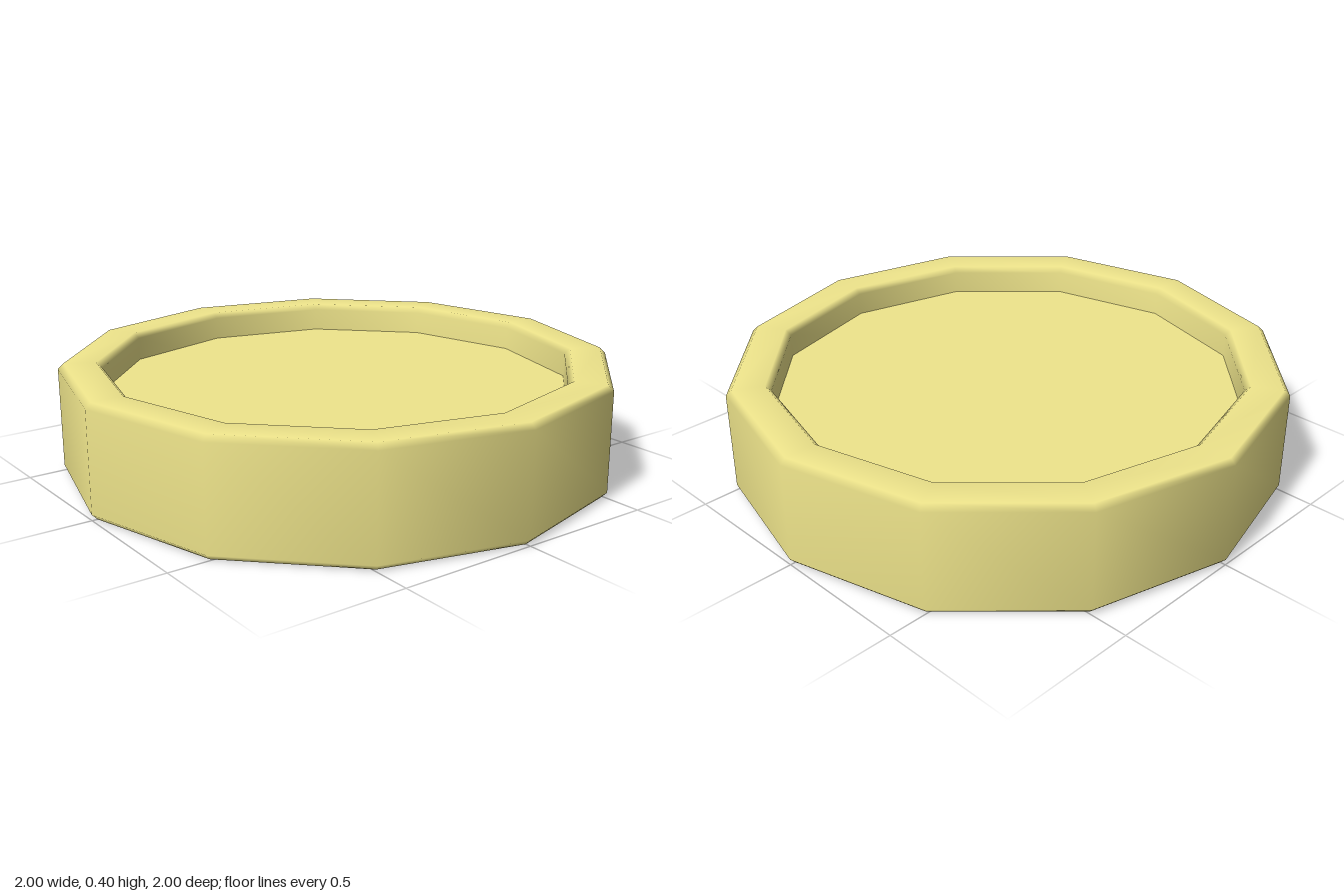
import * as THREE from 'three';

const SIDES = 12;

export function createModel() {
  const model = new THREE.Group();
  model.name = 'shallowRoundDish';
  const material = new THREE.MeshStandardMaterial({ color: 0xf0e68c });

  // Rim: chamfered section swept round twelve sides, with soft shading
  const inner = 0.845, outer = 1, height = 0.4, bevel = 0.02;
  const section = [
    [inner, height / 2],
    [inner, bevel],
    [inner + bevel, 0],
    [outer - bevel, 0],
    [outer, bevel],
    [outer, height - bevel],
    [outer - bevel, height],
    [inner + bevel, height],
    [inner, height - bevel],
    [inner, height / 2],
  ].map(([r, y]) => new THREE.Vector2(r, y));
  const rim = new THREE.Mesh(new THREE.LatheGeometry(section, SIDES), material);
  rim.name = 'rim';
  model.add(rim);

  // Panel: flat disc recessed equally from the top and the underside
  const panel = new THREE.Mesh(new THREE.CylinderGeometry(inner, inner, 0.19, SIDES), material);
  panel.name = 'panel';
  panel.position.y = height / 2;
  model.add(panel);

  return model;
}
